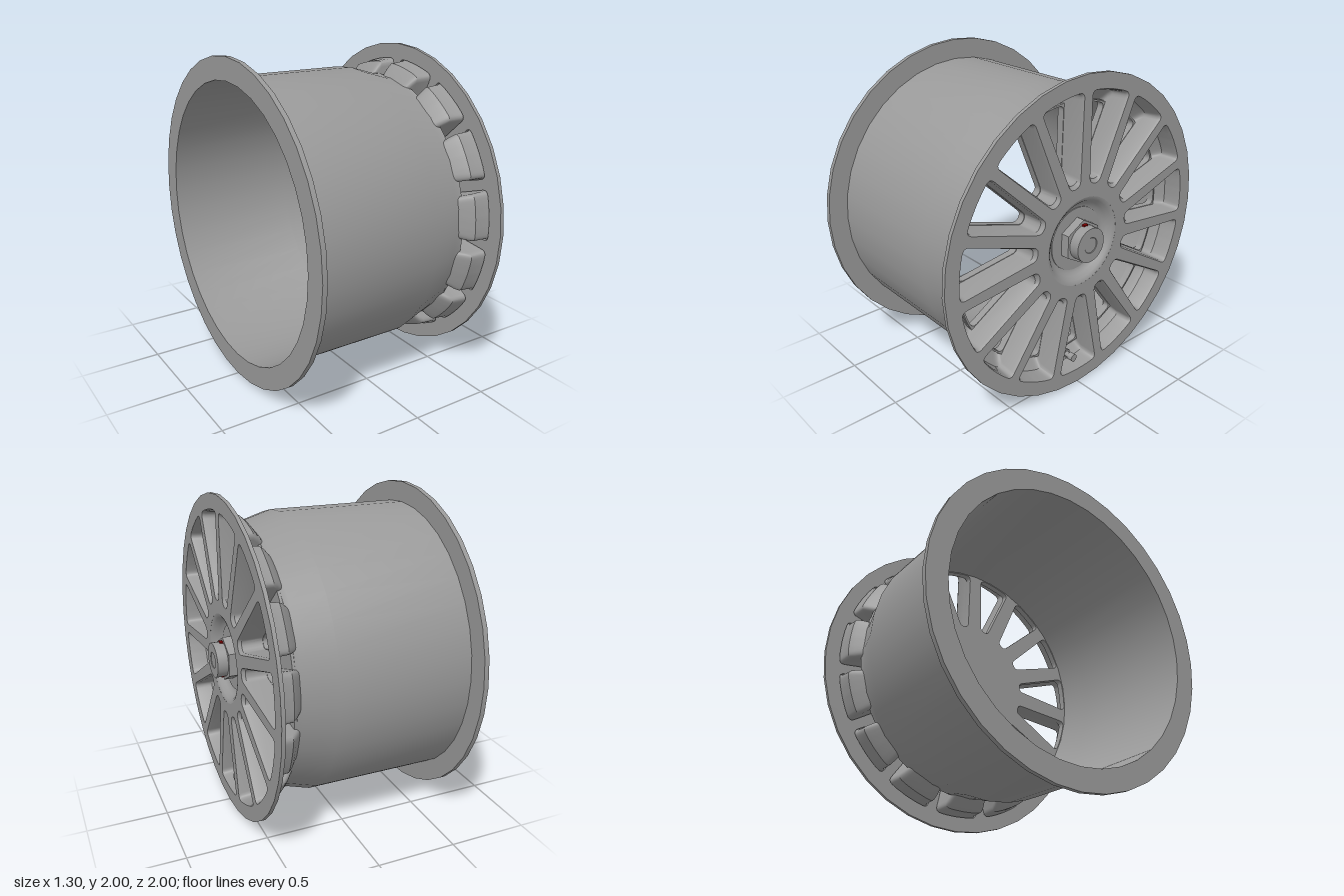
import * as THREE from 'three';
import { toCreasedNormals } from 'three/addons/utils/BufferGeometryUtils.js';

const SPOKES = 15;
const grey = new THREE.MeshStandardMaterial({ color: 0x999999, side: THREE.DoubleSide });
const red = new THREE.MeshStandardMaterial({ color: 0x800000 });

function part(name, geometry, material = grey, crease = 0.5) {
  const mesh = new THREE.Mesh(toCreasedNormals(geometry, crease), material);
  mesh.name = name;
  return mesh;
}

// Revolved part around z from [radius, z] pairs
function turned(name, profile, segments) {
  const points = profile.map(([r, z]) => new THREE.Vector2(r, z));
  return part(name, new THREE.LatheGeometry(points, segments).rotateX(Math.PI / 2));
}

// Rod along z between two depths
function rod(name, radius, z0, z1, sides = 32) {
  const g = new THREE.CylinderGeometry(radius, radius, z1 - z0, sides);
  return part(name, g.rotateX(Math.PI / 2).translate(0, 0, (z0 + z1) / 2));
}

// Rounded window outline pointing up +y: r0 and r1 are its radial ends,
// b and a its half widths at the inner and outer end
function windowOutline({ r0, r1, b, a }, angle = 0) {
  const top = (x) => [x, Math.sqrt(r1 * r1 - x * x)];
  const corners = [
    [b, r0, b * 0.95], [...top(a), 0.038], [...top(a / 2), 0.018], [...top(0), 0.018],
    [...top(-a / 2), 0.018], [...top(-a), 0.038], [-b, r0, b * 0.95],
  ];
  const path = new THREE.Path();
  corners.forEach(([x, y, fillet], i) => {
    const here = new THREE.Vector2(x, y);
    const toward = (j) => {
      const c = corners[(j + corners.length) % corners.length];
      return new THREE.Vector2(c[0], c[1]).sub(here).setLength(fillet).add(here);
    };
    const p = toward(i - 1), q = toward(i + 1);
    if (i === 0) path.moveTo(p.x, p.y);
    else path.lineTo(p.x, p.y);
    path.quadraticCurveTo(x, y, q.x, q.y);
  });
  const centre = new THREE.Vector2();
  return path.getPoints(5).map((p) => p.rotateAround(centre, angle));
}

// Skin through equal-length outlines at successive depths
function loft(loops) {
  const n = loops[0].points.length, position = [], index = [];
  loops.forEach(({ points, z }) => points.forEach((p) => position.push(p.x, p.y, z)));
  for (let k = 0; k < loops.length - 1; k++) {
    for (let i = 0; i < n; i++) {
      const a = k * n + i, b = k * n + (i + 1) % n;
      index.push(a, a + n, b, b, a + n, b + n);
    }
  }
  const g = new THREE.BufferGeometry();
  g.setAttribute('position', new THREE.Float32BufferAttribute(position, 3));
  g.setIndex(index);
  return g;
}

// Disc pierced by all windows
function piercedDisc(name, { radius, sides, bore, level, z, depth }) {
  const shape = new THREE.Shape();
  for (let i = 0; i < sides; i++) {
    const t = (i / sides) * Math.PI * 2;
    if (i) shape.lineTo(radius * Math.cos(t), radius * Math.sin(t));
    else shape.moveTo(radius, 0);
  }
  shape.closePath();
  if (bore) shape.holes.push(new THREE.Path().absarc(0, 0, bore, 0, Math.PI * 2, true));
  for (let i = 0; i < SPOKES; i++) {
    shape.holes.push(new THREE.Path(windowOutline(level, ((i + 0.5) / SPOKES) * Math.PI * 2)));
  }
  const g = new THREE.ExtrudeGeometry(shape, { depth, bevelEnabled: false, curveSegments: 24 });
  return part(name, g.translate(0, 0, z));
}

export function createModel() {
  const model = new THREE.Group();
  model.name = 'wheel';
  const wheel = new THREE.Group();
  wheel.name = 'wheelBody';
  model.add(wheel);

  // Barrel with rear flange
  wheel.add(turned('barrel', [
    [0.862, -0.65], [1, -0.65], [1, -0.62], [0.876, -0.62], [0.876, 0.2], [0.82, 0.39],
    [0.82, 0.425], [0.813, 0.425], [0.813, 0.385], [0.862, 0.2], [0.862, -0.65],
  ], 36));

  // Window pockets from the front face back to the barrel neck
  const levels = [
    { z: 0.583, r0: 0.36, r1: 0.905, b: 0.038, a: 0.158 },
    { z: 0.565, r0: 0.382, r1: 0.898, b: 0.033, a: 0.15 },
    { z: 0.47, r0: 0.388, r1: 0.89, b: 0.032, a: 0.146 },
    { z: 0.445, r0: 0.39, r1: 0.868, b: 0.031, a: 0.14 },
    { z: 0.395, r0: 0.395, r1: 0.806, b: 0.029, a: 0.122 },
  ];
  const pocket = loft(levels.map((l) => ({ points: windowOutline(l), z: l.z })));
  for (let i = 0; i < SPOKES; i++) {
    const mesh = part('windowPocket', pocket, grey, 0.6);
    mesh.rotation.z = ((i + 0.5) / SPOKES) * Math.PI * 2;
    wheel.add(mesh);
  }

  // Front spokes with outer flange, and the rear skin of the hollow spokes
  wheel.add(piercedDisc('spokeFace',
    { radius: 1, sides: 36, bore: 0.28, level: levels[0], z: 0.56, depth: 0.023 }));
  wheel.add(piercedDisc('spokeBack',
    { radius: 0.816, sides: 90, bore: 0, level: levels[4], z: 0.395, depth: 0.045 }));

  // Dished hub, washer and centre nut
  wheel.add(turned('hubDish', [
    [0.282, 0.583], [0.27, 0.58], [0.255, 0.57], [0.235, 0.545], [0.22, 0.53],
    [0.2, 0.522], [0, 0.515],
  ], 48));
  wheel.add(rod('washer', 0.2, 0.475, 0.528, 40));
  wheel.add(rod('hexNut', 0.14, 0.528, 0.583, 6));
  wheel.add(turned('nutCollar', [
    [0.108, 0.55], [0.108, 0.648], [0.05, 0.648], [0.047, 0.645], [0, 0.645],
  ], 32));

  // Red locking pins above and below the collar
  for (const side of [1, -1]) {
    const pin = part('lockingPin', new THREE.BoxGeometry(0.03, 0.02, 0.024), red);
    pin.position.set(0, side * 0.106, 0.591);
    wheel.add(pin);
  }

  // Tyre valve in the lowest window
  const valve = new THREE.Group();
  valve.name = 'valve';
  valve.add(rod('valveBase', 0.031, 0.452, 0.478, 6));
  valve.add(rod('valveStem', 0.018, 0.478, 0.505, 12));
  valve.add(rod('valveCap', 0.025, 0.505, 0.545, 12));
  valve.position.y = -0.845;
  wheel.add(valve);

  // Axle along x, standing on the ground
  wheel.rotation.y = Math.PI / 2;
  wheel.position.y = 1;
  return model;
}
